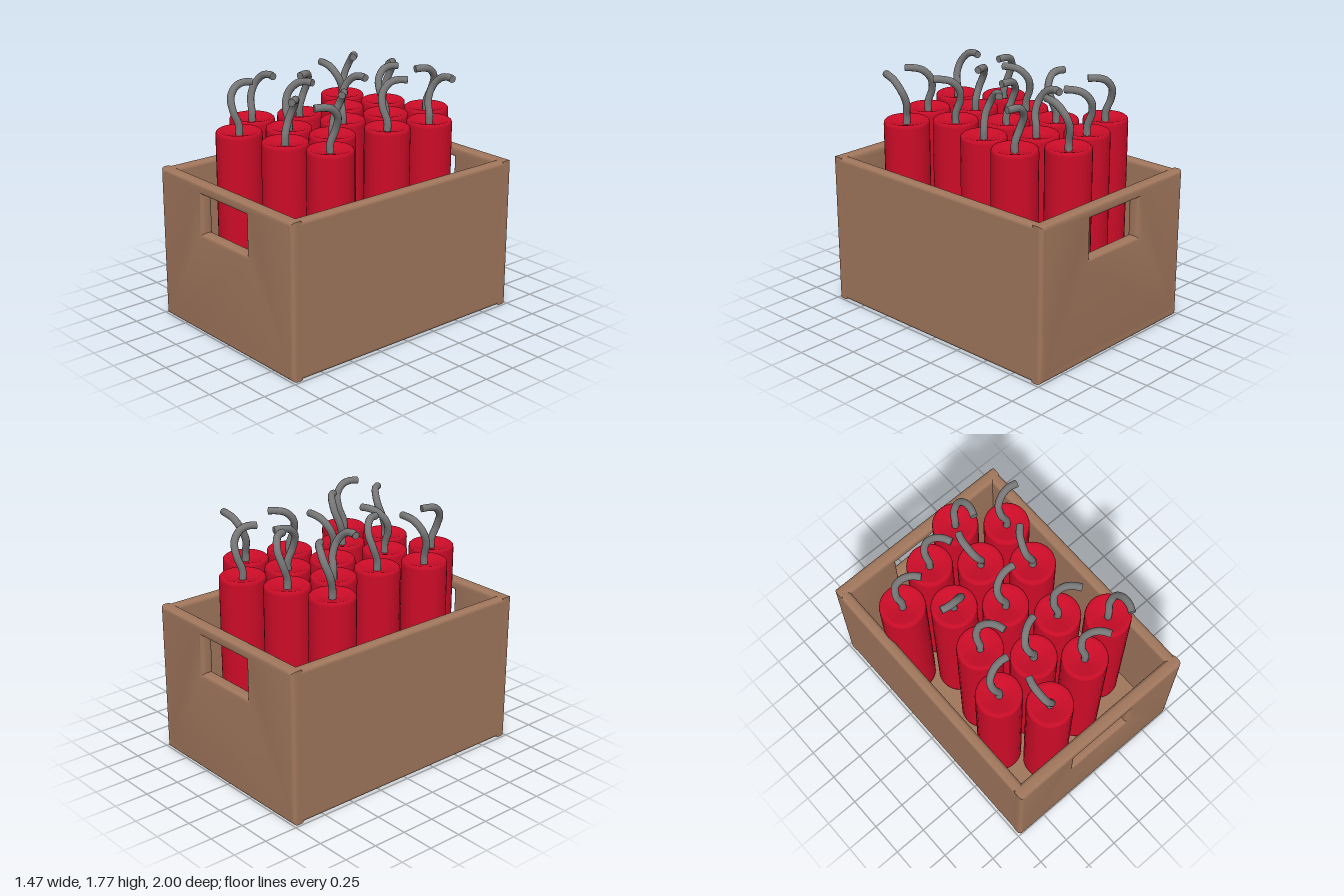
import * as THREE from 'three';
import { toCreasedNormals } from 'three/addons/utils/BufferGeometryUtils.js';
import { RoundedBoxGeometry } from 'three/addons/geometries/RoundedBoxGeometry.js';

const W = 1.47, H = 1.11, D = 2, SIDE = 0.08, END = 0.095, R = 0.03, TOP = 1.44;

// Each stick: centre x, z, then the offset x, z to the tip of its fuse
const STICKS = [
  [-0.51, -0.48, 0.17, 0.03], [-0.18, -0.59, 0.15, 0.08], [0.15, -0.71, 0.05, 0.16],
  [0.42, -0.48, 0.16, -0.08], [0.09, -0.37, -0.06, -0.16], [-0.25, -0.25, -0.15, 0.07],
  [0.36, -0.14, 0.02, -0.17], [0.02, -0.03, 0.14, -0.09], [-0.31, 0.09, 0.14, 0.1],
  [-0.08, 0.37, 0.1, -0.13], [0.24, 0.25, 0.17, 0.05], [-0.43, 0.42, 0.15, -0.09],
  [0.49, 0.48, 0.04, 0.17], [0.17, 0.6, 0.16, 0.06], [-0.22, 0.69, -0.06, -0.16],
];

function rectangle(path, x0, y0, x1, y1) {
  path.moveTo(x0, y0);
  path.lineTo(x1, y0);
  path.lineTo(x1, y1);
  path.lineTo(x0, y1);
  path.closePath();
  return path;
}

function part(name, geometry, material, x = 0, y = 0, z = 0) {
  const mesh = new THREE.Mesh(geometry, material);
  mesh.name = name;
  mesh.position.set(x, y, z);
  return mesh;
}

function createCrate() {
  const crate = new THREE.Group();
  crate.name = 'crate';
  const wood = new THREE.MeshStandardMaterial({ color: 0xa0765c });

  crate.add(part('floor', new RoundedBoxGeometry(W, 0.09, D, 4, R), wood, 0, 0.045, 0));

  // End walls with a hand hole
  const outline = rectangle(new THREE.Shape(), -W / 2, 0, W / 2, H);
  outline.holes.push(rectangle(new THREE.Path(), -0.25, 0.75, 0.25, 1.03));
  const endGeo = toCreasedNormals(new THREE.ExtrudeGeometry(outline, {
    depth: END - 2 * R, bevelThickness: R, bevelSize: R, bevelOffset: -R, bevelSegments: 4,
  }).translate(0, 0, R - END / 2), 0.7);

  const sideGeo = new RoundedBoxGeometry(SIDE, H, D, 4, R);
  for (const s of [1, -1]) {
    crate.add(part(s > 0 ? 'frontWall' : 'backWall', endGeo, wood, 0, 0, s * (D - END) / 2));
    crate.add(part(s > 0 ? 'leftWall' : 'rightWall', sideGeo, wood, s * (W - SIDE) / 2, H / 2, 0));
  }
  return crate;
}

function createStickMaker() {
  const red = new THREE.MeshStandardMaterial({ color: 0xcc0c28 });
  const grey = new THREE.MeshStandardMaterial({ color: 0x777777 });

  // Cylinder with a soft rim and a shallow dished top
  const profile = [[0, 0.09], [0.16, 0.09], [0.16, 0.1], [0.16, 1.41], [0.157, 1.43],
    [0.146, TOP], [0.125, 1.435], [0, 1.4]].map(([r, y]) => new THREE.Vector2(r, y));
  const bodyGeo = new THREE.LatheGeometry(profile, 32);

  // Curling fuse, its tip pointing along +x
  const curve = new THREE.CatmullRomCurve3([
    [0, 1.39, 0], [0, 1.47, 0], [-0.02, 1.57, -0.03], [0, 1.66, -0.06],
    [0.06, 1.725, -0.055], [0.12, 1.742, -0.03], [0.165, 1.74, 0.005],
  ].map((p) => new THREE.Vector3(...p)));
  const fuseGeo = new THREE.TubeGeometry(curve, 28, 0.026, 10);
  const capGeo = new THREE.CircleGeometry(0.026, 10);
  const tangent = curve.getTangent(1);

  return ([x, z, dx, dz]) => {
    const stick = new THREE.Group();
    stick.name = 'stick';
    stick.position.set(x, 0, z);
    stick.rotation.y = Math.atan2(-dz, dx);
    const cap = part('fuseTip', capGeo, grey);
    cap.position.copy(curve.getPoint(1));
    cap.quaternion.setFromUnitVectors(new THREE.Vector3(0, 0, 1), tangent);
    stick.add(part('stickBody', bodyGeo, red), part('fuse', fuseGeo, grey), cap);
    return stick;
  };
}

export function createModel() {
  const model = new THREE.Group();
  model.name = 'crateOfSticks';
  model.add(createCrate());
  const makeStick = createStickMaker();
  for (const stick of STICKS) model.add(makeStick(stick));
  return model;
}
